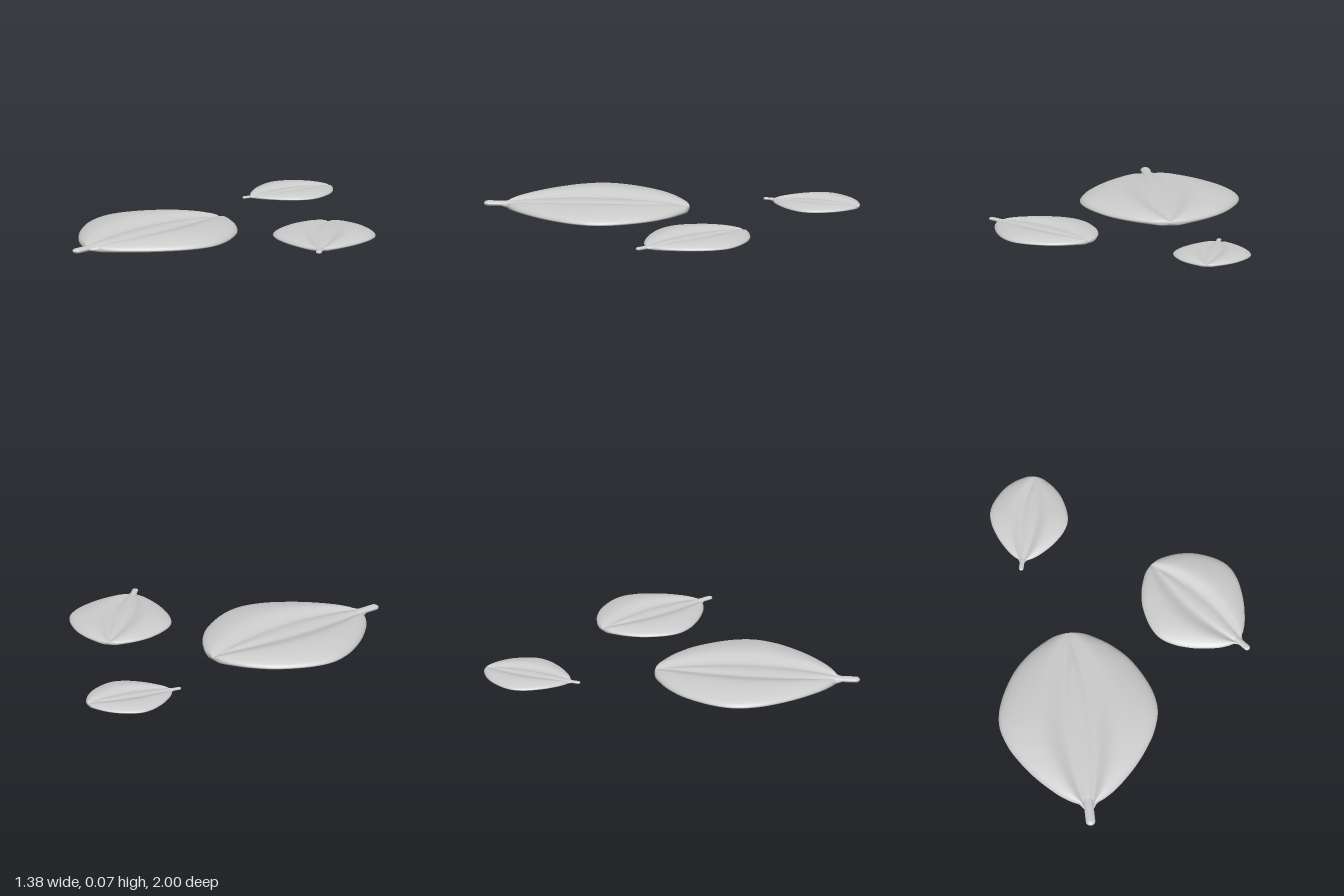
import * as THREE from 'three';

const material = new THREE.MeshStandardMaterial({ color: 0xcccccc });

// Half width of the blade against distance from the stem end
const outline = new THREE.SplineCurve([
  [0.07, 0.0], [0.10, 0.029], [0.127, 0.05], [0.15, 0.095], [0.2, 0.165], [0.3, 0.265], [0.4, 0.34],
  [0.5, 0.395], [0.62, 0.425], [0.75, 0.4], [0.9, 0.32], [1.0, 0.225],
  [1.06, 0.135], [1.09, 0.07], [1.1, 0.0],
].map(([d, w]) => new THREE.Vector2(d, w)));

// One closed cross-section: arched top with a midrib in its valley, flat underside
function bladeSection(d, w) {
  const top = 80, bottom = 24, ring = [];
  const t = THREE.MathUtils.clamp((d - 0.1) / 0.96, 0, 1);
  const rib = Math.min(0.02 * (1 - t) + 0.055 * Math.sin(Math.PI * t), 0.8 * w);
  const arch = 0.068 * Math.pow(w / 0.425, 0.7);
  const ribRise = 0.009 * Math.min(1, rib / 0.03);
  const belly = 0.014 * Math.min(1, w / 0.06);
  for (let i = 0; i <= top; i++) {
    const x = w * Math.cos(Math.PI * i / top);
    const ax = Math.abs(x);
    const s = Math.min(1, Math.max(0, ax - rib) / (w - rib));
    let y = 0.02 + arch * (Math.sqrt(1 - s * s) - 0.6 * Math.exp(-((s / 0.25) ** 2)));
    if (ax < rib) y += ribRise * (1 - (x / rib) ** 2);
    ring.push([x, y, -d]);
  }
  for (let i = 1; i < bottom; i++) {
    const u = -Math.cos(Math.PI * i / bottom);
    ring.push([w * u, 0.02 - belly * Math.sqrt(1 - u ** 6), -d]);
  }
  return ring;
}

// Skin a list of equal closed rings
function loft(rings) {
  const n = rings[0].length, index = [];
  for (let j = 0; j < rings.length - 1; j++) {
    for (let i = 0; i < n; i++) {
      const a = j * n + i, b = j * n + (i + 1) % n;
      index.push(a, a + n, b, b, a + n, b + n);
    }
  }
  const geometry = new THREE.BufferGeometry();
  geometry.setAttribute('position', new THREE.Float32BufferAttribute(rings.flat(2), 3));
  geometry.setIndex(index);
  geometry.computeVertexNormals();
  return geometry;
}

const bladeGeometry = loft(outline.getPoints(84).map(p => bladeSection(p.x, Math.max(p.y, 0.0005))));

// Rounded, slightly flattened stem lying along z
const stemGeometry = new THREE.CapsuleGeometry(0.026, 0.12, 8, 20)
  .rotateX(Math.PI / 2).scale(1, 0.55, 1).translate(0, 0.024, -0.086);

function leaf(name, x, y, z, scale, turn) {
  const group = new THREE.Group();
  group.name = name;
  const blade = new THREE.Mesh(bladeGeometry, material);
  blade.name = 'blade';
  const stem = new THREE.Mesh(stemGeometry, material);
  stem.name = 'stem';
  group.add(blade, stem);
  group.position.set(x, y, z);
  group.scale.setScalar(scale);
  group.rotation.y = turn;
  return group;
}

export function createModel() {
  const model = new THREE.Group();
  model.name = 'leaves';
  model.add(
    leaf('largeLeaf', -0.265, 0, 1, 1, 0),
    leaf('mediumLeaf', 0.68, 0.012, 0.1, 0.645, 0.72),
    leaf('smallLeaf', -0.48, 0.017, -0.475, 0.49, -0.25),
  );
  return model;
}
